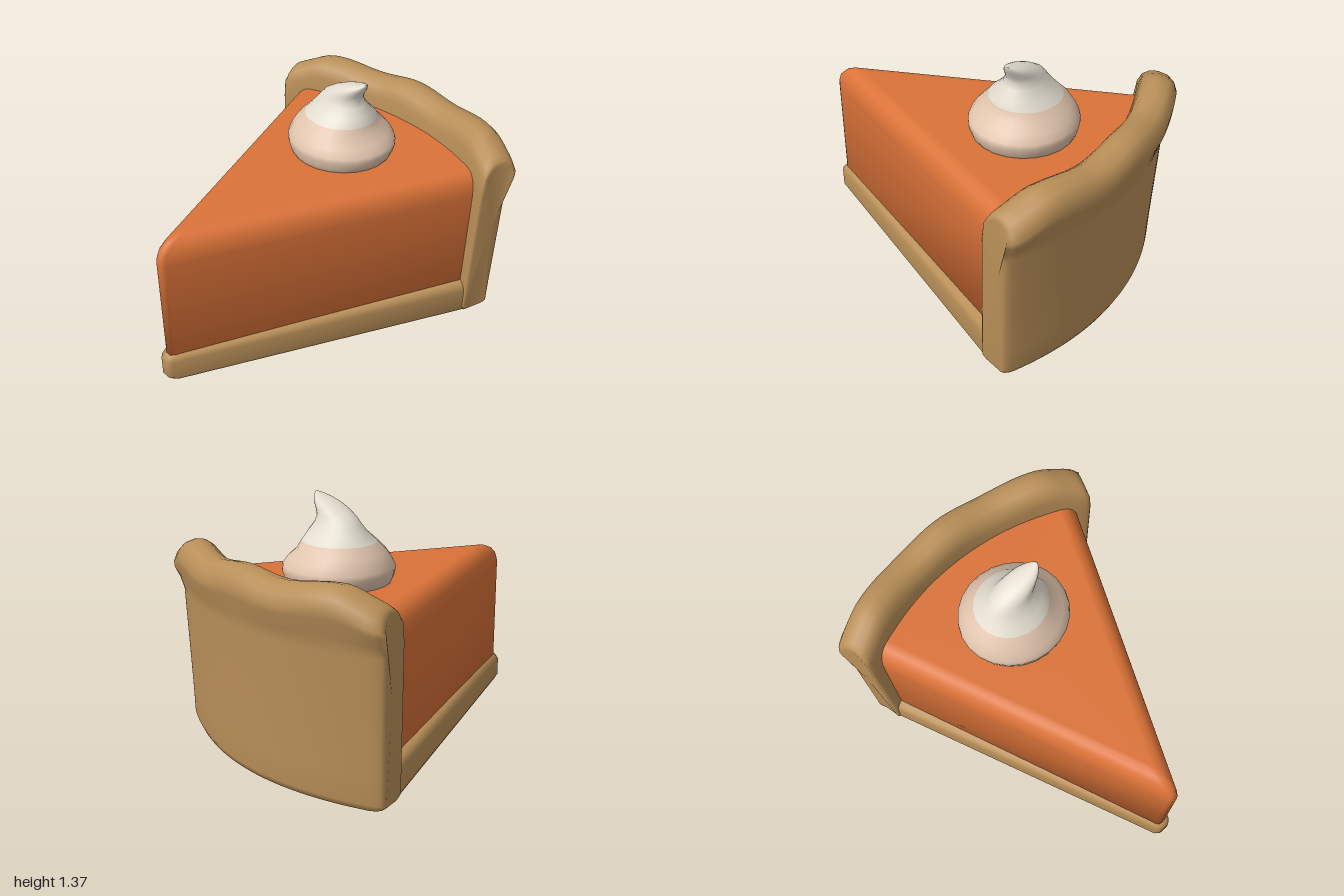
import * as THREE from 'three';

const mat = (name, color) => new THREE.MeshStandardMaterial({ name, color });

// Skin a stack of closed rings and cap both ends; splitRow starts a second material group
function loft(rings, splitRow) {
  const n = rings[0].length, pos = [], idx = [];
  rings.forEach(r => r.forEach(p => pos.push(...p)));
  const cap = (row, flip) => {
    const r = rings[row], c = pos.length / 3;
    for (let k = 0; k < 3; k++) pos.push(r.reduce((s, p) => s + p[k], 0) / n);
    for (let j = 0; j < n; j++) {
      const a = row * n + j, b = row * n + (j + 1) % n;
      idx.push(c, flip ? b : a, flip ? a : b);
    }
  };
  cap(0, true);
  let split = 0;
  for (let i = 0; i < rings.length - 1; i++) {
    if (i === splitRow) split = idx.length;
    for (let j = 0; j < n; j++) {
      const a = i * n + j, b = i * n + (j + 1) % n;
      idx.push(a, b, b + n, a, b + n, a + n);
    }
  }
  cap(rings.length - 1, false);
  const g = new THREE.BufferGeometry();
  g.setAttribute('position', new THREE.Float32BufferAttribute(pos, 3));
  g.setIndex(idx);
  if (splitRow !== undefined) {
    g.addGroup(0, split, 0);
    g.addGroup(split, idx.length - split, 1);
  }
  g.computeVertexNormals();
  return g;
}

// Horizontal wedge outline with blunt tip and curved back, inset by d
function wedgeRing(tipX, tipHalf, cornerZ, y, d, rise) {
  const h = tipHalf * (1 - d * 8), cz = cornerZ - d * 1.1, x0 = tipX + d * 2.2;
  const pts = [[x0, h * 0.5], [x0 + 0.02, h]];
  const steps = 10;
  for (let i = 0; i <= steps; i++) {
    const z = cz * (1 - 2 * i / steps);
    pts.push([0.81 - 0.21 * (z / 0.8) ** 2, z]);
  }
  pts.push([x0 + 0.02, -h], [x0, -h * 0.5]);
  return pts.map(([x, z]) => [x, y + rise * (x + 1) / 1.6, z]);
}

// Back crust profile: outward offset, height, sideways flare
const PROFILE = [
  [-0.05, 0.012, -0.01], [-0.015, 0.025, 0], [0, 0.06, 0], [0, 0.2, 0.003], [0.008, 0.8, 0.018],
  [0.025, 0.88, 0.025], [0.047, 0.96, 0.035], [0.05, 1.0, 0.035], [0.036, 1.05, 0.025],
  [0.005, 1.085, 0.015], [-0.05, 1.1, 0.01], [-0.1, 1.09, 0.01], [-0.14, 1.06, 0.015],
  [-0.165, 1.0, 0.02], [-0.178, 0.85, 0.02], [-0.185, 0.2, 0.003], [-0.185, 0.06, 0], [-0.16, 0.012, -0.01],
];

function backCrust() {
  const ts = [];
  for (let i = -20; i <= 20; i++) ts.push(i / 20 * 0.92);
  const ends = [[0.96, 0.97, 0.005], [0.985, 0.9, 0.02], [1, 0.75, 0.045]];
  const sections = [
    ...ends.map(([t, s, c]) => [-t, s, c]).reverse(),
    ...ts.map(t => [t, 1, 0]),
    ...ends,
  ];
  return loft(sections.map(([t, shrink, cut]) => {
    const z0 = Math.abs(t) * 0.82;
    // scalloped rim that falls away at both corners
    const wave = 0.013 * Math.cos(z0 * Math.PI * 2 / 0.56)
      - 0.05 * THREE.MathUtils.smoothstep(z0, 0.6, 0.82);
    return PROFILE.map(([o, y, flare]) => {
      const off = -0.08 + (o + 0.08) * shrink;
      let yy = y + wave * THREE.MathUtils.smoothstep(y, 0.8, 1.03);
      if (y > 1.02) yy -= cut * 0.8;
      if (y < 0.05) yy += cut * 0.5;
      return [0.95 - 0.21 * t * t + off, yy, t * (0.8 + flare + 0.2 * o)];
    });
  }));
}

// Cream swirl: height, centre z, half depth, half width
const SWIRL = [
  [0.9, -0.01, 0.27, 0.265], [0.94, -0.01, 0.295, 0.28], [0.985, -0.01, 0.308, 0.291],
  [1.01, -0.012, 0.303, 0.288], [1.05, -0.02, 0.275, 0.265], [1.09, -0.033, 0.238, 0.23],
  [1.135, -0.02, 0.205, 0.19], [1.18, -0.01, 0.175, 0.14], [1.225, -0.01, 0.14, 0.105],
  [1.26, 0, 0.118, 0.09], [1.29, 0.03, 0.098, 0.08], [1.318, 0.068, 0.076, 0.068],
  [1.34, 0.105, 0.05, 0.05], [1.356, 0.137, 0.024, 0.028], [1.366, 0.157, 0.005, 0.006],
];

function swirl() {
  const n = 24;
  return loft(SWIRL.map(([y, cz, rz, rx]) => Array.from({ length: n }, (_, j) => {
    const a = j / n * Math.PI * 2;
    return [0.31 + rx * Math.cos(a), y, cz - rz * Math.sin(a)];
  })), 6);
}

export function createModel() {
  const crust = mat('crust', 0xb98f58);
  const filling = mat('filling', 0xda7238);
  const cream = mat('cream', 0xe2dccf);
  const creamShade = mat('warmCream', 0xe0c4ad);

  const model = new THREE.Group();
  model.name = 'pieSlice';
  const add = (name, geometry, material) => {
    const m = new THREE.Mesh(geometry, material);
    m.name = name;
    model.add(m);
  };

  // Bottom crust: height, inset, rise toward the back
  add('bottomCrust', loft([
    [0, 0.03, 0.008], [0.012, 0.012, 0.008], [0.04, 0, 0.008], [0.145, 0, 0.03],
    [0.172, 0.01, 0.035], [0.185, 0.03, 0.035], [0.187, 0.05, 0.035],
  ].map(([y, d, rise]) => wedgeRing(-1, 0.05, 0.765, y, d, rise))), crust);

  // Filling with softly rounded upper edges
  add('filling', loft([
    [0.1, 0], [0.77, 0], [0.8, 0.001], [0.845, 0.009], [0.88, 0.026], [0.902, 0.05], [0.91, 0.075], [0.911, 0.09],
  ].map(([y, d]) => wedgeRing(-0.97, 0.035, 0.72, y, d, 0.013))), filling);

  add('backCrust', backCrust(), crust);
  add('creamSwirl', swirl(), [creamShade, cream]);
  return model;
}
